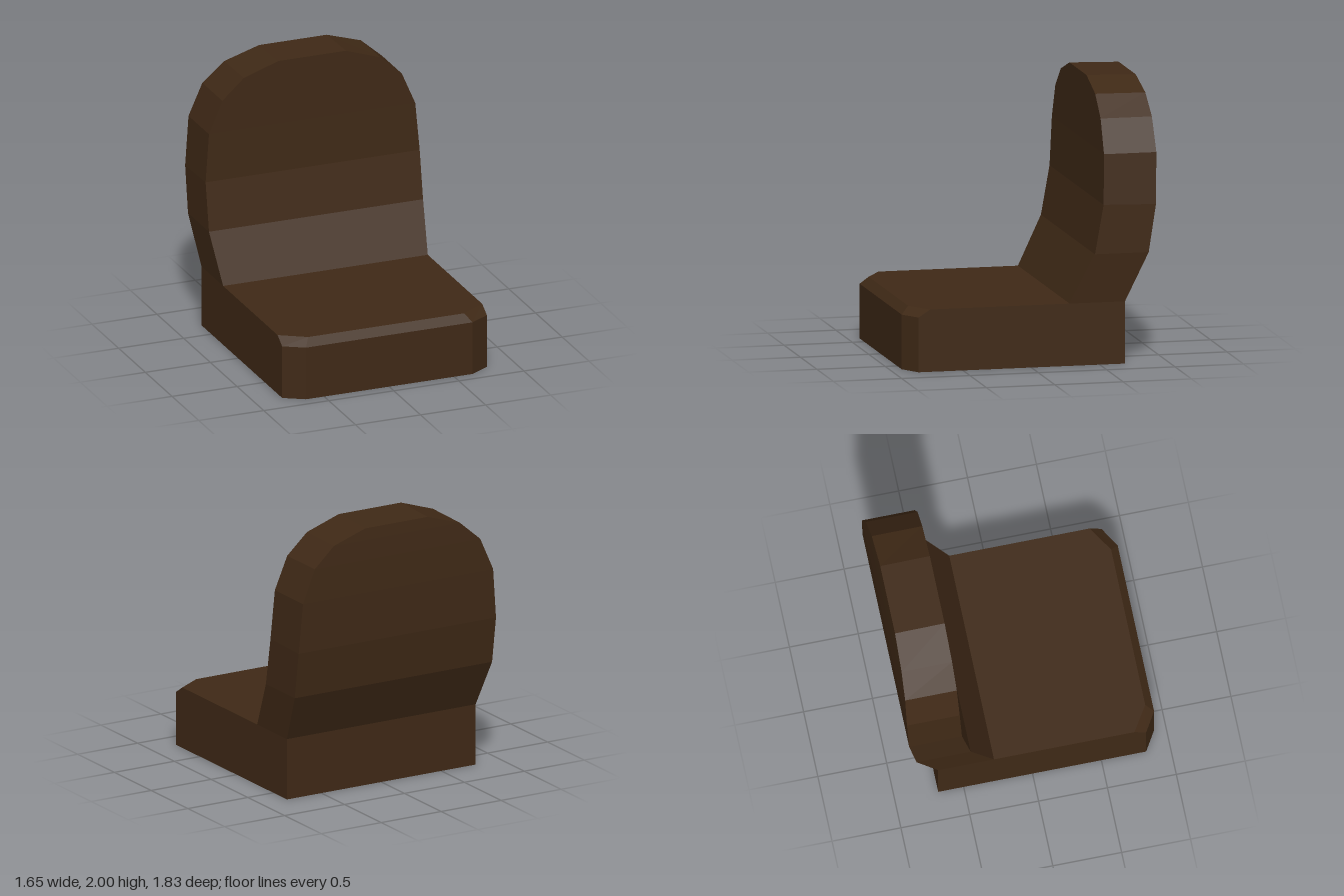
import * as THREE from 'three';

// Skin a stack of closed rings (counter-clockwise from above, bottom to top).
function loft(rings, capBottom) {
  const pos = [];
  const tri = (...pts) => pts.forEach((p) => pos.push(...p));
  for (let r = 0; r < rings.length - 1; r++) {
    const lo = rings[r], hi = rings[r + 1];
    lo.forEach((a, i) => {
      const j = (i + 1) % lo.length;
      tri(a, lo[j], hi[j]);
      tri(a, hi[j], hi[i]);
    });
  }
  const top = rings[rings.length - 1], bottom = rings[0];
  for (let i = 1; i < top.length - 1; i++) {
    tri(top[0], top[i], top[i + 1]);
    if (capBottom) tri(bottom[0], bottom[i + 1], bottom[i]);
  }
  const geo = new THREE.BufferGeometry();
  geo.setAttribute('position', new THREE.Float32BufferAttribute(pos, 3));
  geo.computeVertexNormals();
  return geo;
}

export function createModel() {
  const group = new THREE.Group();
  group.name = 'chair';
  const material = new THREE.MeshStandardMaterial({ color: 0x3f2916, flatShading: true });
  const add = (name, geo) => {
    const mesh = new THREE.Mesh(geo, material);
    mesh.name = name;
    group.add(mesh);
  };

  // Seat: block with clipped front corners and a bevelled front top edge
  const seatRing = (y, frontX, frontZ, sideZ) => [
    [-frontX, y, frontZ], [frontX, y, frontZ], [0.787, y, sideZ],
    [0.787, y, -0.685], [-0.787, y, -0.685], [-0.787, y, sideZ],
  ];
  add('seat', loft([
    seatRing(0, 0.64, 0.913, 0.825),
    seatRing(0.395, 0.64, 0.913, 0.825),
    seatRing(0.45, 0.6, 0.857, 0.74),
  ], true));

  // Backrest: half width, front y, front z, back y, back z at each level
  const levels = [
    [0.787, 0.45, -0.28, 0.45, -0.685],
    [0.823, 0.805, -0.457, 0.805, -0.85],
    [0.823, 1.16, -0.52, 1.15, -0.903],
    [0.793, 1.52, -0.53, 1.52, -0.913],
    [0.69, 1.76, -0.53, 1.76, -0.905],
    [0.525, 1.91, -0.53, 1.905, -0.897],
    [0.26, 2.0, -0.53, 1.99, -0.89],
  ];
  add('backrest', loft(levels.map(([w, fy, fz, by, bz]) => [
    [-w, fy, fz], [w, fy, fz], [w, by, bz], [-w, by, bz],
  ]), false));

  return group;
}
